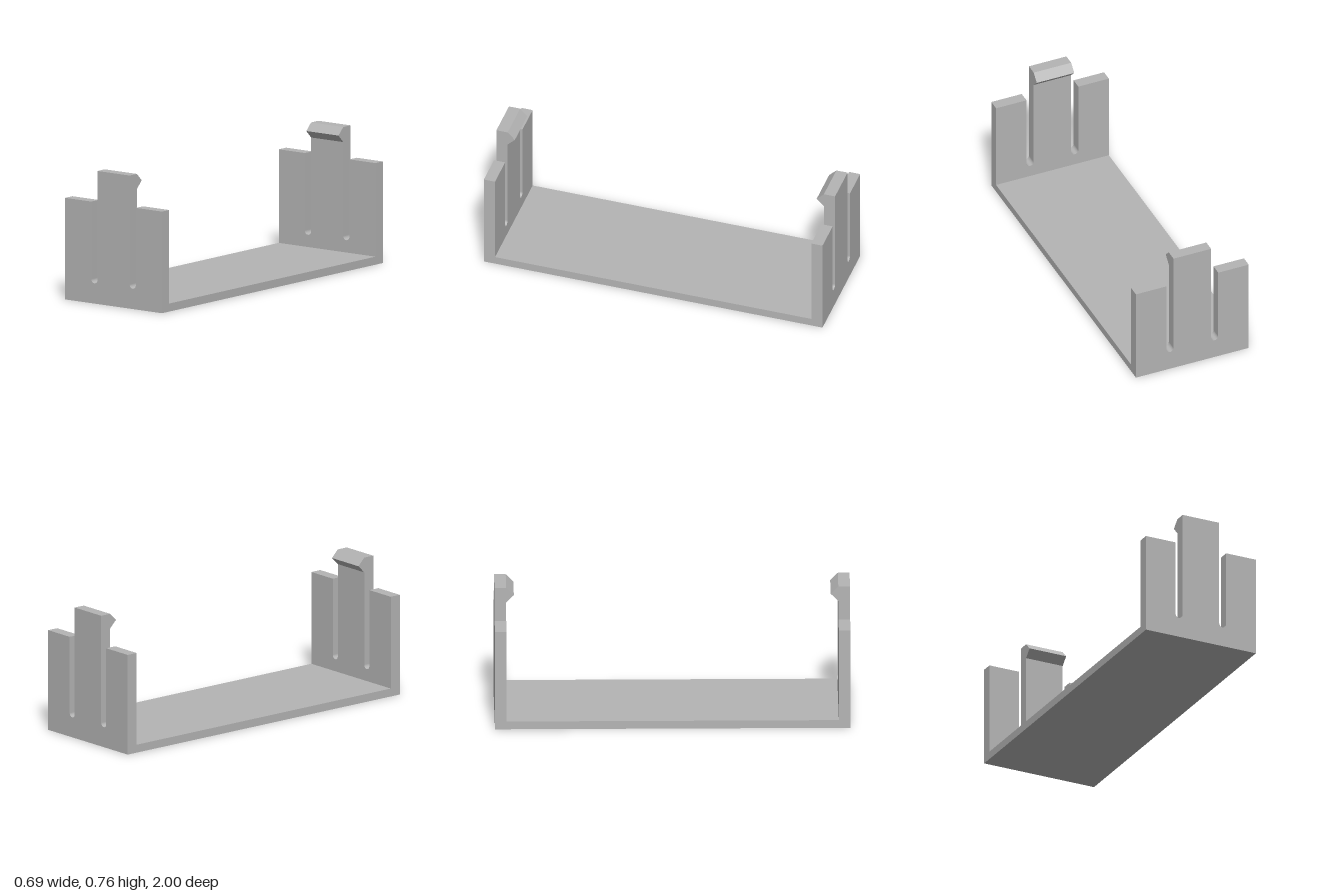
import * as THREE from 'three';

const HALF_W = 0.347, HALF_L = 1, WALL = 0.066, FLOOR = 0.046;
const SHOULDER = 0.581, TOP = 0.761;           // wall height, clip height
const SLOT_X = 0.1375, SLOT_R = 0.022, SLOT_Y = 0.138;

export function createModel() {
  const grey = new THREE.MeshStandardMaterial({ color: 0xb4b4b4 });
  grey.name = 'plain grey';

  const model = new THREE.Group();
  model.name = 'clipBracket';
  const add = (parent, name, geometry) => {
    const mesh = new THREE.Mesh(geometry, grey);
    mesh.name = name;
    parent.add(mesh);
    return mesh;
  };

  // Floor plate between the two end walls
  const floor = add(model, 'floorPlate',
    new THREE.BoxGeometry(HALF_W * 2, FLOOR, (HALF_L - WALL) * 2));
  floor.position.y = FLOOR / 2;

  // End wall outline: two shoulders and a taller tongue, parted by round-ended slots
  const outline = new THREE.Shape();
  outline.moveTo(-HALF_W, 0);
  outline.lineTo(HALF_W, 0);
  outline.lineTo(HALF_W, SHOULDER);
  outline.lineTo(SLOT_X + SLOT_R, SHOULDER);
  outline.absarc(SLOT_X, SLOT_Y, SLOT_R, 0, -Math.PI, true);
  outline.lineTo(SLOT_X - SLOT_R, TOP);
  outline.lineTo(-SLOT_X + SLOT_R, TOP);
  outline.absarc(-SLOT_X, SLOT_Y, SLOT_R, 0, -Math.PI, true);
  outline.lineTo(-SLOT_X - SLOT_R, SHOULDER);
  outline.lineTo(-HALF_W, SHOULDER);
  outline.closePath();
  const wallGeometry = new THREE.ExtrudeGeometry(outline,
    { depth: WALL, bevelEnabled: false, curveSegments: 16 });
  wallGeometry.translate(0, 0, HALF_L - WALL);

  // Triangular catch on the inside of the tongue, profile drawn in z and y
  const inner = HALF_L - WALL;
  const profile = new THREE.Shape([
    new THREE.Vector2(inner, TOP),
    new THREE.Vector2(inner - 0.043, TOP - 0.043),
    new THREE.Vector2(inner, TOP - 0.086),
  ]);
  const catchWidth = (SLOT_X - SLOT_R) * 2;
  const catchGeometry = new THREE.ExtrudeGeometry(profile,
    { depth: catchWidth, bevelEnabled: false });
  catchGeometry.translate(0, 0, -catchWidth / 2);
  catchGeometry.rotateY(-Math.PI / 2);

  // Same end at front and back
  for (const [name, turn] of [['front', 0], ['back', Math.PI]]) {
    const end = new THREE.Group();
    end.name = name + 'End';
    end.rotation.y = turn;
    add(end, name + 'Wall', wallGeometry);
    add(end, name + 'Catch', catchGeometry);
    model.add(end);
  }
  return model;
}
